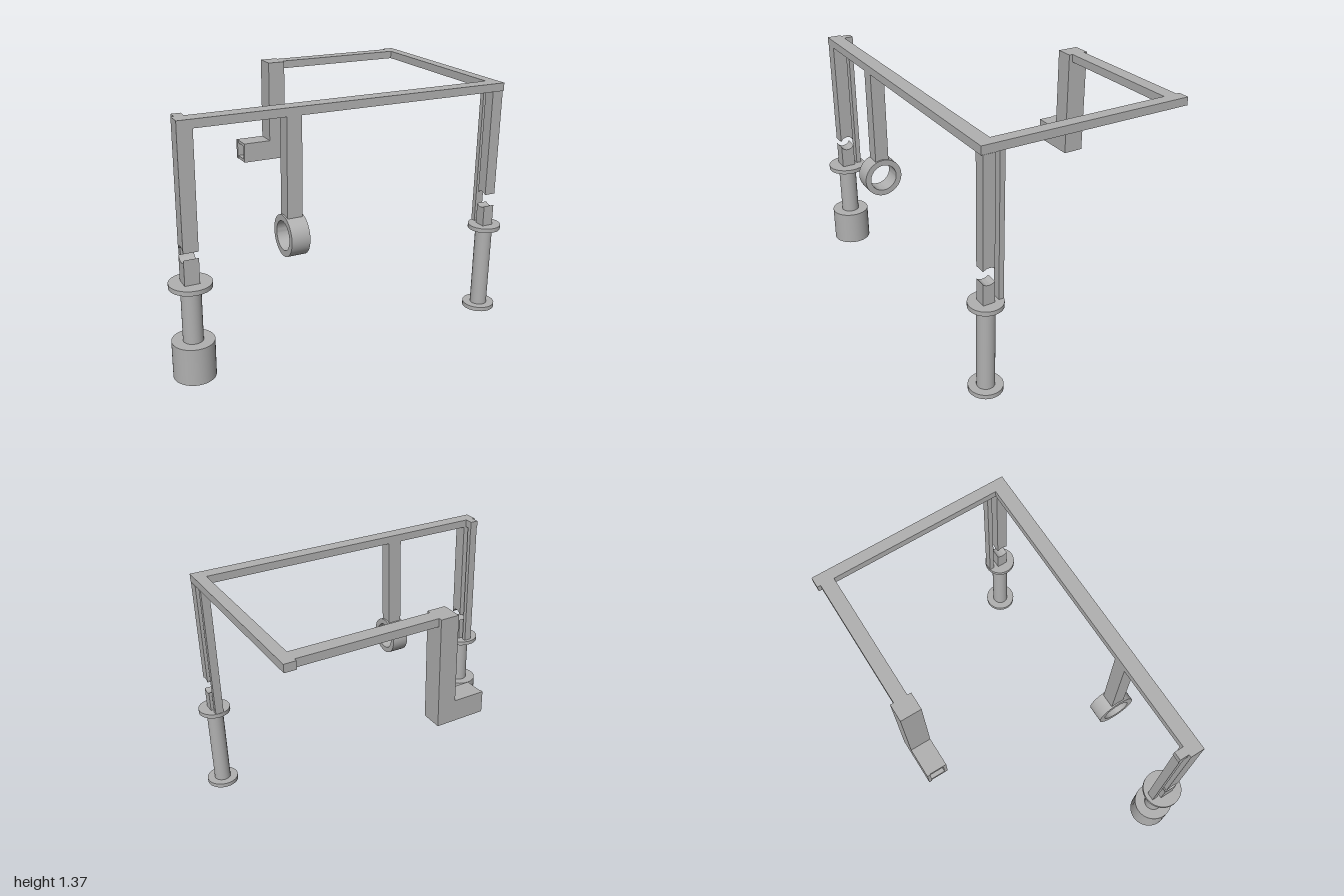
import * as THREE from 'three';
import { toCreasedNormals } from 'three/addons/utils/BufferGeometryUtils.js';

const grey = new THREE.MeshStandardMaterial({ color: 0xb0b0b0 });
grey.name = 'grey';

export function createModel() {
  const model = new THREE.Group();
  model.name = 'frame';

  const add = (name, geometry, x, y, z) => {
    const mesh = new THREE.Mesh(geometry, grey);
    mesh.name = name;
    mesh.position.set(x, y, z);
    model.add(mesh);
    return mesh;
  };
  // Box given by its limits on each axis
  const box = (name, [x0, x1], [y0, y1], [z0, z1]) =>
    add(name, new THREE.BoxGeometry(x1 - x0, y1 - y0, z1 - z0), (x0 + x1) / 2, (y0 + y1) / 2, (z0 + z1) / 2);
  const disc = (name, r, y0, y1, x) =>
    add(name, new THREE.CylinderGeometry(r, r, y1 - y0, 48), x, (y0 + y1) / 2, axisZ);
  // Profile drawn in (z, y), extruded along x and centred on it
  const alongX = (shape, width) => {
    const g = new THREE.ExtrudeGeometry(shape, { depth: width, bevelEnabled: false, curveSegments: 32 });
    g.translate(0, 0, -width / 2).rotateY(-Math.PI / 2);
    return toCreasedNormals(g, 0.5);
  };

  const axisZ = 0.518, ringY = 0.686, top = [1.325, 1.37];

  // Top beams
  box('frontBeam', [-0.93, 0.935], top, [0.478, 0.56]);
  box('sideBeam', [0.87, 0.935], top, [-0.63, 0.478]);
  box('backBeam', [0.09, 0.87], top, [-0.61, -0.53]);
  box('beamStub', [-0.914, -0.865], top, [0.425, 0.478]);

  // Square leg split by a round saddle cut, with a thin strip behind it
  const leg = (side, x, w, cut) => {
    const h = w / 2, a = Math.acos(h / cut);
    const upper = new THREE.Shape();
    upper.moveTo(h, 1.325 - ringY);
    upper.lineTo(-h, 1.325 - ringY);
    upper.absarc(0, 0, cut, Math.PI - a, a, true);
    upper.closePath();
    const lower = new THREE.Shape();
    lower.moveTo(-h, 0.53 - ringY);
    lower.lineTo(h, 0.53 - ringY);
    lower.absarc(0, 0, cut, -a, a - Math.PI, true);
    lower.closePath();
    add(side + 'UpperLeg', alongX(upper, w), x, ringY, axisZ);
    add(side + 'LowerLeg', alongX(lower, w), x, ringY, axisZ);
    box(side + 'LegStrip', [x - 0.024, x + 0.024], [0.53, 1.325], [0.43, 0.458]);
  };
  leg('right', -0.89, 0.08, 0.0435);
  leg('left', 0.904, 0.065, 0.048);

  // Round feet
  disc('rightBase', 0.112, 0, 0.205, -0.888);
  disc('rightShaft', 0.053, 0.205, 0.505, -0.888);
  disc('rightFlange', 0.112, 0.505, 0.53, -0.888);
  disc('leftBase', 0.092, 0, 0.025, 0.905);
  disc('leftShaft', 0.048, 0.025, 0.505, 0.905);
  disc('leftFlange', 0.092, 0.505, 0.53, 0.905);

  // Hanging ring
  box('ringHanger', [-0.373, -0.29], [0.785, 1.325], [0.478, 0.558]);
  const ring = new THREE.Shape().absarc(0, 0, 0.112, 0, Math.PI * 2);
  ring.holes.push(new THREE.Path().absarc(0, 0, 0.079, 0, Math.PI * 2, true));
  add('ring', alongX(ring, 0.103), -0.33, ringY, axisZ);

  // Back column with a hollow-ended arm
  box('backColumn', [-0.012, 0.092], [0.755, 1.37], [-0.63, -0.508]);
  const square = (P, s) => new P([[-s, -s], [s, -s], [s, s], [-s, s]].map(p => new THREE.Vector2(...p)));
  const arm = square(THREE.Shape, 0.061);
  arm.holes.push(square(THREE.Path, 0.042));
  add('arm', alongX(arm, 0.173), -0.0985, 0.816, -0.569);
  box('armCore', [-0.13, -0.012], [0.774, 0.858], [-0.611, -0.527]);
  box('armEndLip', [-0.19, -0.185], [0.755, 0.877], [-0.63, -0.611]);

  return model;
}
